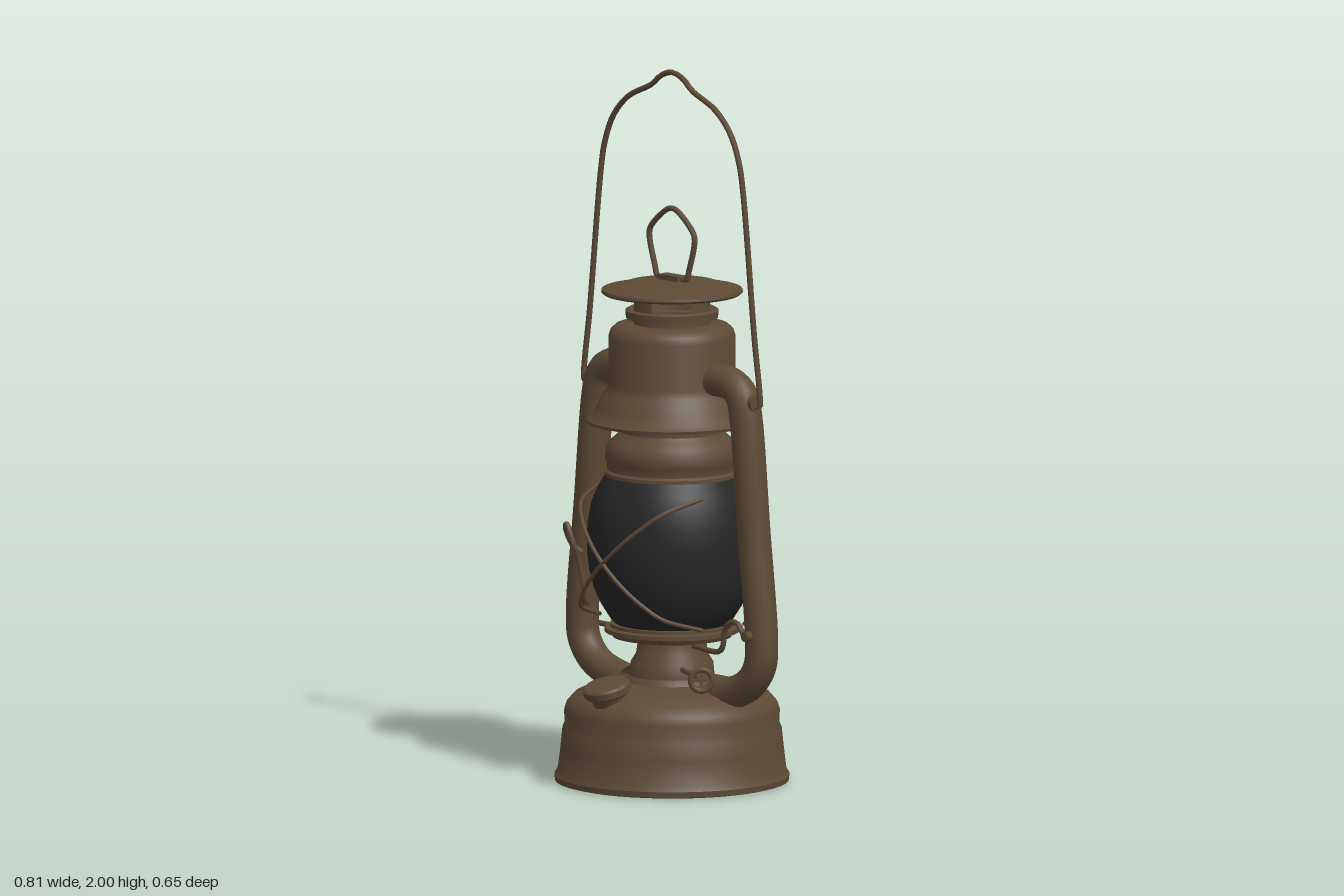
import * as THREE from 'three';
import { toCreasedNormals } from 'three/addons/utils/BufferGeometryUtils.js';

export function createModel() {
  const lantern = new THREE.Group();
  lantern.name = 'lantern';
  const metal = new THREE.MeshStandardMaterial({ color: 0x5e4a35, side: THREE.DoubleSide });
  metal.name = 'bronze metal';
  const glass = new THREE.MeshStandardMaterial({ color: 0x262626, side: THREE.DoubleSide });
  glass.name = 'smoked glass';

  const add = (name, geometry, material = metal, parent = lantern) => {
    const mesh = new THREE.Mesh(geometry, material);
    mesh.name = name;
    parent.add(mesh);
    return mesh;
  };
  // Turned part from [radius, height] pairs
  const turned = (name, profile, material, parent, crease = 0.6) => add(name, toCreasedNormals(
    new THREE.LatheGeometry(profile.map(p => new THREE.Vector2(...p)), 44), crease), material, parent);
  // Bent wire or pipe through a few points
  const wire = (name, points, radius, closed = false, steps = 60, sides = 8, tension = 0.5) => {
    const path = new THREE.CatmullRomCurve3(points.map(p => new THREE.Vector3(...p)), closed,
      tension === 0.5 ? 'centripetal' : 'catmullrom', tension);
    return add(name, new THREE.TubeGeometry(path, steps, radius, sides, closed));
  };
  const mirrored = points => [...points, ...points.slice(0, -1).reverse().map(([x, y, z]) => [-x, y, z])];

  // Fuel tank with rolled foot and shoulder
  turned('fuelTank', [[0, 0.012], [0.3, 0.012], [0.31, 0], [0.325, 0.004], [0.327, 0.02], [0.318, 0.035],
    [0.31, 0.1], [0.305, 0.15], [0.298, 0.165], [0.3, 0.2], [0.293, 0.222], [0.272, 0.246],
    [0.235, 0.264], [0.18, 0.278], [0.12, 0.285], [0, 0.285]]);

  // Burner and the plate carrying the globe
  turned('burner', [[0.135, 0.275], [0.128, 0.29], [0.118, 0.3], [0.115, 0.335], [0.1, 0.36],
    [0.095, 0.395], [0.11, 0.405], [0.15, 0.41]]);
  turned('globePlate', [[0, 0.408], [0.165, 0.408], [0.172, 0.42], [0.187, 0.422], [0.187, 0.434],
    [0.172, 0.437], [0.172, 0.446], [0, 0.446]]);

  // Globe
  turned('globe', [[0.155, 0.443], [0.172, 0.46], [0.197, 0.5], [0.217, 0.545], [0.23, 0.595], [0.236, 0.645],
    [0.237, 0.69], [0.234, 0.735], [0.224, 0.785], [0.208, 0.825], [0.187, 0.86], [0.18, 0.87]], glass, lantern, 1);

  // Collar above the globe and inner flue
  turned('globeCollar', [[0.17, 0.862], [0.187, 0.862], [0.187, 0.872], [0.18, 0.878], [0.18, 0.895], [0.186, 0.905],
    [0.185, 0.935], [0.175, 0.955], [0.155, 0.972], [0.145, 0.985], [0.145, 1.1]]);

  // Chimney hood with flared skirt
  turned('chimneyHood', [[0.225, 1.018], [0.235, 1.01], [0.237, 1.018], [0.222, 1.03], [0.208, 1.055], [0.197, 1.085],
    [0.183, 1.1], [0.177, 1.12], [0.177, 1.25], [0.171, 1.27], [0.157, 1.283], [0.135, 1.288], [0.108, 1.288],
    [0.108, 1.3], [0.128, 1.303], [0.13, 1.325], [0.122, 1.33], [0.1, 1.325]]);

  // Four curved posts leave open vents below the cap
  for (let i = 0; i < 4; i++) {
    const post = add('ventPost', new THREE.CylinderGeometry(0.118, 0.118, 0.07, 6, 1, true, -0.3, 0.6));
    post.position.y = 1.35;
    post.rotation.y = i * Math.PI / 2;
  }
  turned('cap', [[0, 1.374], [0.165, 1.374], [0.19, 1.37], [0.197, 1.376], [0.195, 1.384], [0.17, 1.388],
    [0.125, 1.402], [0.06, 1.408], [0, 1.409]]);
  add('capTab', new THREE.BoxGeometry(0.075, 0.022, 0.035)).position.y = 1.412;

  // Lift loop on the cap
  wire('capLoop', mirrored([[0.03, 1.413, 0], [0.06, 1.416, 0], [0.068, 1.44, 0], [0.091, 1.525, 0],
    [0.086, 1.548, 0], [0.025, 1.602, 0], [0, 1.61, 0]]), 0.008);

  // Carrying handle
  wire('carryHandle', mirrored([[0.325, 1.1, 0], [0.35, 1.085, 0], [0.354, 1.1, 0], [0.33, 1.29, 0], [0.285, 1.69, 0],
    [0.27, 1.765, 0], [0.235, 1.845, 0], [0.175, 1.905, 0], [0.08, 1.95, 0], [0.045, 1.978, 0], [0, 1.992, 0]]), 0.008, false, 110);

  // Side air tubes and handle ears
  for (const s of [1, -1]) {
    wire('airTube', [[0.15, 1.145, 0], [0.2, 1.148, 0], [0.245, 1.142, 0], [0.28, 1.115, 0], [0.296, 1.06, 0],
      [0.328, 0.75, 0], [0.36, 0.43, 0], [0.354, 0.365, 0], [0.32, 0.315, 0], [0.27, 0.285, 0], [0.18, 0.26, 0]]
      .map(([x, y, z]) => [s * x, y, z]), 0.046, false, 70, 16);
    const ear = add('handleEar', new THREE.CylinderGeometry(0.024, 0.024, 0.03, 14));
    ear.rotation.z = Math.PI / 2;
    ear.position.set(s * 0.326, 1.1, 0);
  }

  // Crossed guard wires, front and back
  for (const face of [1, -1]) for (const slope of [1, -1]) {
    const points = [];
    for (let i = -5; i <= 5; i++) {
      const t = i / 5;
      points.push([slope * t * 0.205, 0.64 + t * 0.185, face * (0.08 + 0.187 * Math.sqrt(1 - t * t))]);
    }
    wire('guardWire', points, 0.006, false, 50, 6);
  }

  // Globe lift lever, crossing through the burner
  wire('globeLever', [[-0.39, 0.395, -0.06], [-0.33, 0.395, -0.06], [0, 0.395, -0.01], [0.23, 0.395, 0.04],
    [0.25, 0.41, 0.045], [0.268, 0.465, 0.05], [0.29, 0.485, 0.052], [0.32, 0.485, 0.054],
    [0.345, 0.46, 0.056], [0.372, 0.455, 0.06]], 0.008, false, 80);
  const tip = add('leverTip', new THREE.CylinderGeometry(0.014, 0.014, 0.02, 12));
  tip.rotation.x = Math.PI / 2;
  tip.position.set(0.365, 0.455, 0.062);
  const stop = add('leverStop', new THREE.CylinderGeometry(0.015, 0.015, 0.012, 12));
  stop.rotation.z = Math.PI / 2;
  stop.position.set(-0.39, 0.395, -0.062);

  // Wire latch beside the right tube
  wire('latchLoop', [[-0.29, 0.465, 0.05], [-0.315, 0.465, 0.045], [-0.292, 0.48, 0.055], [-0.292, 0.58, 0.075],
    [-0.295, 0.65, 0.1], [-0.315, 0.695, 0.102], [-0.338, 0.68, 0.085], [-0.335, 0.63, 0.06], [-0.315, 0.61, 0.045]], 0.008);

  // Wick adjuster: shaft, wheel and spokes
  wire('wickShaft', [[0.07, 0.33, 0.04], [0.17, 0.33, 0.09], [0.272, 0.33, 0.147]], 0.008, false, 12);
  const wheel = new THREE.Group();
  wheel.name = 'wickWheel';
  wheel.position.set(0.27, 0.33, 0.145);
  wheel.rotation.y = 0.84;
  lantern.add(wheel);
  add('wheelRim', new THREE.TorusGeometry(0.03, 0.008, 8, 24), metal, wheel);
  for (let i = 0; i < 2; i++) {
    add('wheelSpoke', new THREE.BoxGeometry(0.056, 0.009, 0.006), metal, wheel).rotation.z = i * Math.PI / 2;
  }

  // Tilted filler neck and cap
  const filler = new THREE.Group();
  filler.name = 'filler';
  filler.position.set(0, 0.285, 0.25);
  filler.rotation.x = 0.29;
  lantern.add(filler);
  turned('fillerNeck', [[0.045, -0.06], [0.048, -0.02], [0.055, -0.01]], metal, filler);
  turned('fillerCap', [[0, -0.014], [0.06, -0.014], [0.067, -0.008], [0.067, 0.01], [0.06, 0.016],
    [0.03, 0.019], [0, 0.019]], metal, filler);

  return lantern;
}
